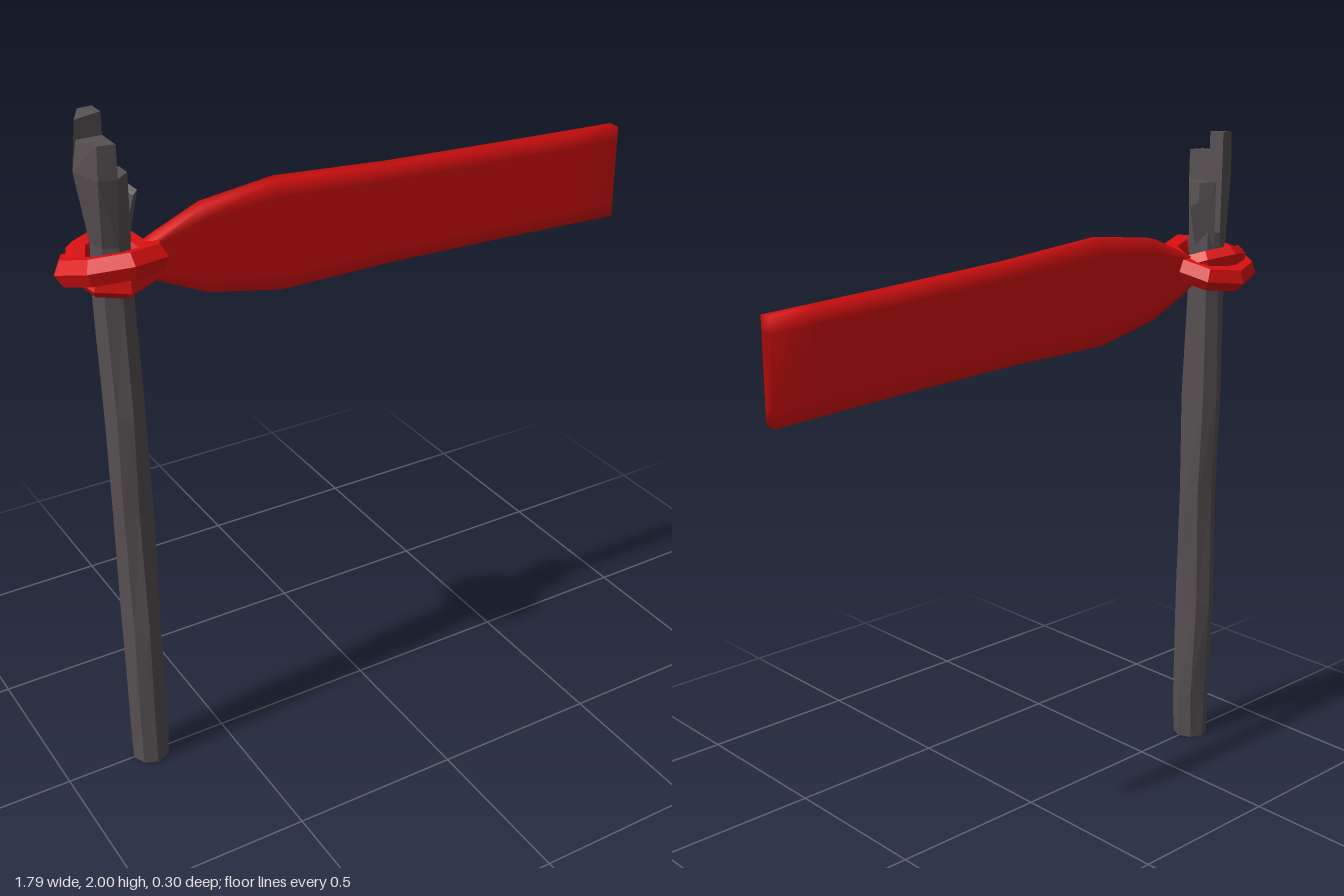
import * as THREE from 'three';
import { mergeVertices } from 'three/addons/utils/BufferGeometryUtils.js';
import { ConvexGeometry } from 'three/addons/geometries/ConvexGeometry.js';

const POST_X = -0.74;

export function createModel() {
  const model = new THREE.Group();
  model.name = 'ribbonPost';

  const wood = new THREE.MeshStandardMaterial({ color: 0x575053, flatShading: true });
  wood.name = 'charred wood';
  const cloth = new THREE.MeshStandardMaterial({ color: 0xdd1010 });
  cloth.name = 'red cloth';
  const knotCloth = cloth.clone();
  knotCloth.name = 'red cloth faceted';
  knotCloth.flatShading = true;

  const add = (name, geometry, material, parent = model) => {
    const mesh = new THREE.Mesh(geometry, material);
    mesh.name = name;
    parent.add(mesh);
    return mesh;
  };

  // Post: eight-sided column, slightly uneven. Rows: y, -x, +x, -z, +z reach
  const rows = [
    [0, 0.054, 0.058, 0.053, 0.057],
    [0.15, 0.055, 0.068, 0.053, 0.057],
    [0.48, 0.055, 0.06, 0.063, 0.066],
    [0.86, 0.055, 0.066, 0.054, 0.054],
    [1.18, 0.056, 0.06, 0.062, 0.066],
    [1.5, 0.062, 0.054, 0.053, 0.054],
    [1.7, 0.055, 0.054, 0.052, 0.054],
  ];
  const post = new THREE.CylinderGeometry(1, 1, 1.7, 8, rows.length - 1);
  const p = post.attributes.position;
  for (let i = 0; i < p.count; i++) {
    const k = Math.round((p.getY(i) / 1.7 + 0.5) * (rows.length - 1));
    const [y, xn, xp, zn, zp] = rows[k];
    const x = p.getX(i), z = p.getZ(i);
    p.setXYZ(i, POST_X + x * (x < 0 ? xn : xp), y, z * (z < 0 ? zn : zp));
  }
  add('post', post, wood);

  // Broken splinters at the top, each a convex chip
  const splinters = {
    tallSplinter: [
      [-0.795, 1.66, 0], [-0.78, 1.66, -0.04], [-0.74, 1.66, -0.052], [-0.74, 1.66, 0],
      [-0.825, 1.86, 0], [-0.79, 1.87, -0.045], [-0.81, 1.99, 0], [-0.78, 2, -0.05],
      [-0.74, 2, -0.052], [-0.74, 2, 0],
    ],
    frontSplinter: [
      [-0.795, 1.66, 0], [-0.78, 1.66, 0.04], [-0.74, 1.66, 0.054], [-0.74, 1.66, 0],
      [-0.825, 1.86, 0], [-0.79, 1.85, 0.07], [-0.74, 1.85, 0.08], [-0.81, 1.94, 0],
      [-0.785, 1.94, 0.07], [-0.74, 1.94, 0.08], [-0.74, 1.94, 0],
    ],
    shortSplinter: [
      [-0.74, 1.66, 0.054], [-0.7, 1.66, 0.038], [-0.686, 1.66, 0], [-0.74, 1.66, -0.03],
      [-0.74, 1.85, 0.078], [-0.7, 1.85, 0.045], [-0.7, 1.85, 0], [-0.74, 1.85, -0.03],
    ],
    leaningSplinter: [
      [-0.72, 1.66, -0.048], [-0.686, 1.66, 0], [-0.73, 1.66, -0.035], [-0.70, 1.66, 0],
      [-0.70, 1.82, -0.062], [-0.658, 1.78, 0], [-0.71, 1.8, -0.05], [-0.672, 1.77, 0.005],
    ],
  };
  for (const [name, pts] of Object.entries(splinters)) {
    add(name, new ConvexGeometry(pts.map((v) => new THREE.Vector3(...v))), wood);
  }

  // Knot: two crossing loops around the post
  const knot = new THREE.Group();
  knot.name = 'knot';
  knot.position.set(POST_X, 1.6, 0);
  model.add(knot);
  const loop = (name, radius, tube, tilt) => {
    const geo = new THREE.TorusGeometry(radius, tube, 6, 8).rotateX(Math.PI / 2);
    add(name, geo, knotCloth, knot).rotation.x = tilt;
  };
  loop('outerLoop', 0.118, 0.04, -0.29);
  loop('innerLoop', 0.092, 0.034, 0.34);

  // Ribbon: slab following [x, bottom, top] stations, soft at its edges
  const stations = [
    [-0.69, 1.565, 1.61], [-0.62, 1.525, 1.645], [-0.48, 1.46, 1.705], [-0.26, 1.415, 1.732],
    [0.1, 1.415, 1.705], [0.5, 1.402, 1.686], [0.74, 1.392, 1.676], [0.89, 1.385, 1.67],
  ];
  const levels = [0, 0.16, 0.84, 1];
  const n = stations.length - 1;
  let ribbon = new THREE.BoxGeometry(1, 1, 0.038, n, 3, 1);
  ribbon.deleteAttribute('uv');
  ribbon.deleteAttribute('normal');
  ribbon = mergeVertices(ribbon);
  const r = ribbon.attributes.position;
  for (let i = 0; i < r.count; i++) {
    const [x, low, high] = stations[Math.round((r.getX(i) + 0.5) * n)];
    const t = levels[Math.round((r.getY(i) + 0.5) * 3)];
    r.setXYZ(i, x, low + (high - low) * t, r.getZ(i) - 0.005);
  }
  ribbon.computeVertexNormals();
  add('ribbon', ribbon, cloth);

  return model;
}
